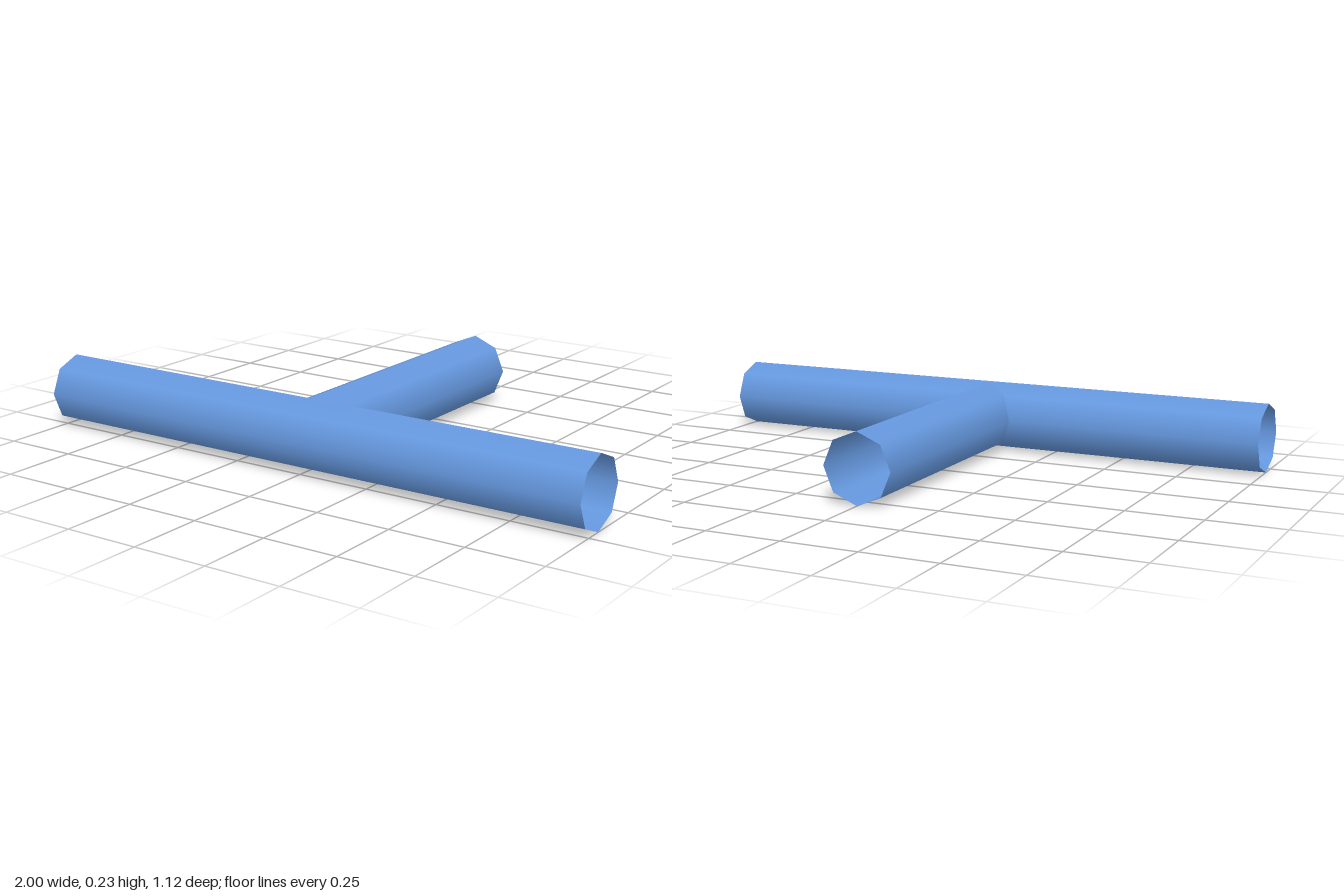
import * as THREE from 'three';

const RADIUS = 0.1165;
const SIDES = 8;

export function createModel() {
  const group = new THREE.Group();
  group.name = 'teePipe';
  const material = new THREE.MeshStandardMaterial({ color: 0x6699e0, side: THREE.DoubleSide });

  // Thin open tube, laid along y until it is turned
  const pipe = (name, length) => {
    const mesh = new THREE.Mesh(
      new THREE.CylinderGeometry(RADIUS, RADIUS, length, SIDES, 1, true), material);
    mesh.name = name;
    group.add(mesh);
    return mesh;
  };

  // Long pipe across the front
  const mainPipe = pipe('mainPipe', 2);
  mainPipe.rotation.z = Math.PI / 2;
  mainPipe.position.set(0, RADIUS, 0.442);

  // Branch running back from the axis of the main pipe
  const branchPipe = pipe('branchPipe', 1);
  branchPipe.rotation.x = Math.PI / 2;
  branchPipe.position.set(0, RADIUS, -0.058);

  return group;
}
